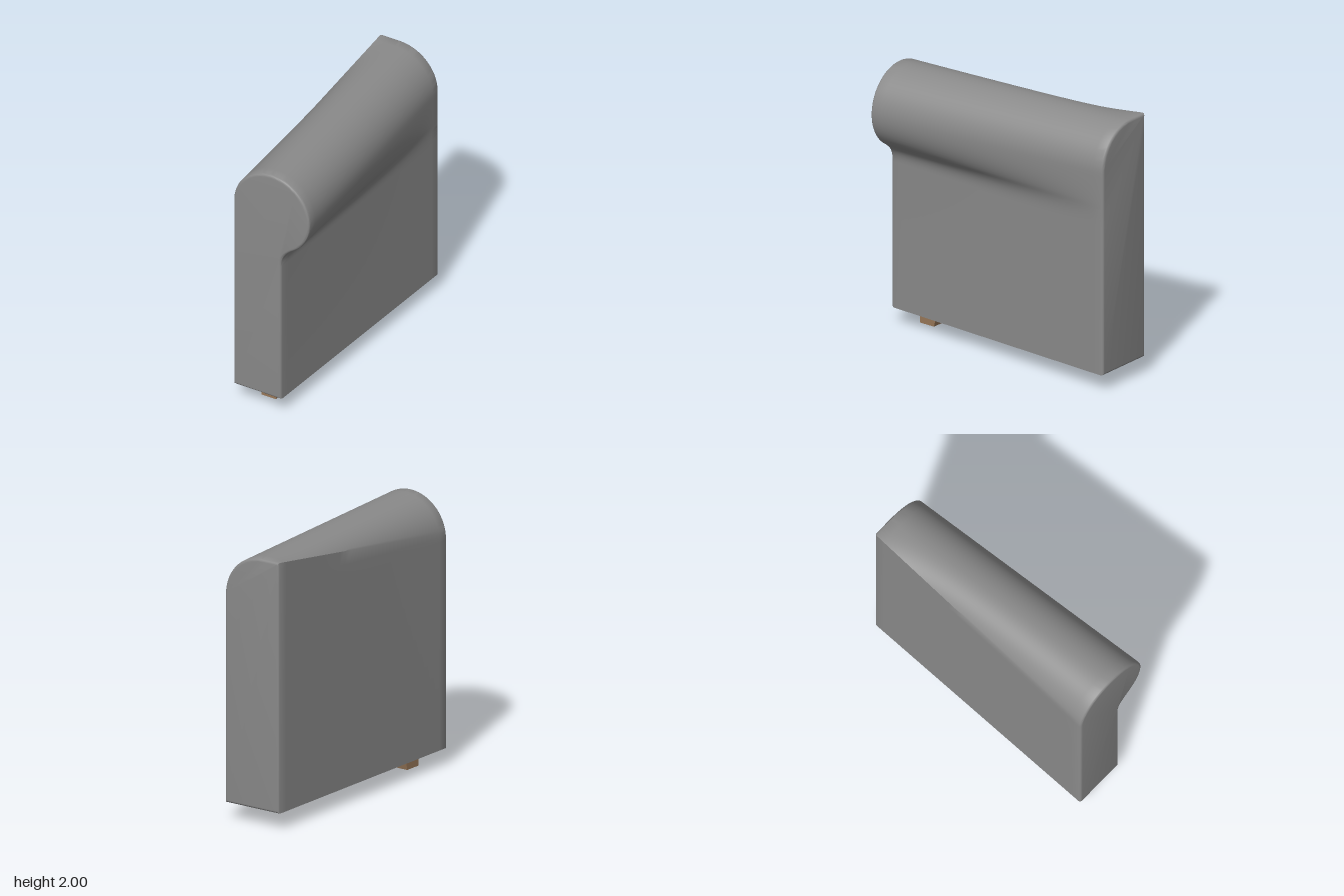
import * as THREE from 'three';
import { toCreasedNormals } from 'three/addons/utils/BufferGeometryUtils.js';

const upholstery = new THREE.MeshStandardMaterial({ color: 0x8a8a8a });
upholstery.name = 'grey upholstery';
const wood = new THREE.MeshStandardMaterial({ color: 0x967657 });
wood.name = 'brown wood';

const R = 0.32, CY = 1.68, BASE = 0.125;
const mix = THREE.MathUtils.lerp;

// Paired outlines: a scrolled front and a plain back with one square upper corner
function outlines() {
  const front = [], back = [];
  const add = (fx, fy, bx, by) => {
    front.push(new THREE.Vector2(fx, fy));
    back.push(new THREE.Vector2(bx, by));
  };
  add(-R, BASE, -R, BASE);
  add(0.08, BASE, 0.16, BASE);
  // concave neck below the scroll
  const neck = new THREE.CubicBezierCurve(
    new THREE.Vector2(0.08, 1.25), new THREE.Vector2(0.08, 1.33),
    new THREE.Vector2(0.11, 1.365), new THREE.Vector2(0.165, 1.406));
  neck.getPoints(8).forEach(p => add(p.x, p.y, 0.16, p.y));
  // underside of the scroll, fading into the flat side
  for (let i = 1; i <= 10; i++) {
    const a = mix(-1.03, 0, i / 10);
    add(R * Math.cos(a), CY + R * Math.sin(a), 0.16, CY + R * Math.sin(a));
  }
  // rounded top
  for (let i = 1; i <= 18; i++) {
    const a = (i / 18) * Math.PI / 2;
    add(R * Math.cos(a), CY + R * Math.sin(a), -0.16 + R * Math.cos(a), CY + R * Math.sin(a));
  }
  // round front shoulder turning into a square back corner
  for (let i = 1; i <= 20; i++) {
    const t = i / 20, a = (1 + t) * Math.PI / 2;
    add(R * Math.cos(a), CY + R * Math.sin(a),
      -0.16 - 0.16 * Math.min(1, t / 0.9), 2 - R * Math.max(0, (t - 0.9) / 0.1));
  }
  return [front, back];
}

// Moves a counter-clockwise outline inwards
function inset(points, d) {
  const n = points.length;
  const normal = (a, b) => new THREE.Vector2(a.y - b.y, b.x - a.x).normalize();
  return points.map((p, i) => {
    const n1 = normal(points[(i + n - 1) % n], p), n2 = normal(p, points[(i + 1) % n]);
    return n1.clone().add(n2).multiplyScalar(d / (1 + n1.dot(n2))).add(p);
  });
}

function armGeometry() {
  const [front, back] = outlines();
  const bevel = 0.02, rows = [];
  // section positions and insets: rounded edge, long body, rounded edge
  for (let i = 0; i <= 4; i++) {
    const a = (i / 4) * Math.PI / 2;
    rows.push([1 - bevel * (1 - Math.cos(Math.PI / 2 - a)), bevel * (1 - Math.sin(a))]);
  }
  const edge = rows.map((r, i) => {
    const a = (i / 4) * Math.PI / 2;
    return [1 - bevel * (1 - Math.cos(a)), bevel * (1 - Math.sin(a))];
  });
  rows.length = 0;
  edge.forEach(([z, d]) => rows.push([z, d]));
  rows.forEach((r, i) => {
    const a = (i / 4) * Math.PI / 2;
    r[0] = 1 - bevel * (1 - Math.cos(a));
  });
  for (let i = 1; i < 28; i++) rows.push([mix(1 - bevel, bevel - 1, i / 28), 0]);
  edge.slice().reverse().forEach(([z, d]) => rows.push([-z, d]));

  const pos = [], index = [], n = front.length;
  const sections = rows.map(([z, d]) => {
    const pts = inset(front.map((p, i) => p.clone().lerp(back[i], (1 - z) / 2)), d);
    pts.forEach(p => pos.push(p.x, p.y, z));
    return pts;
  });
  for (let r = 0; r < rows.length - 1; r++) {
    for (let i = 0; i < n; i++) {
      const a = r * n + i, b = r * n + (i + 1) % n;
      index.push(a, a + n, b + n, a, b + n, b);
    }
  }
  // end caps
  const last = (rows.length - 1) * n;
  THREE.ShapeUtils.triangulateShape(sections[0], []).forEach(([a, b, c]) => index.push(a, b, c));
  THREE.ShapeUtils.triangulateShape(sections[rows.length - 1], [])
    .forEach(([a, b, c]) => index.push(last + a, last + c, last + b));

  const g = new THREE.BufferGeometry();
  g.setAttribute('position', new THREE.Float32BufferAttribute(pos, 3));
  g.setIndex(index);
  return toCreasedNormals(g, 0.6);
}

// Short block foot, tapered on its rear face
function footGeometry() {
  const g = new THREE.BoxGeometry(0.12, 0.13, 0.16);
  const p = g.attributes.position;
  for (let i = 0; i < p.count; i++) {
    if (p.getY(i) < 0 && p.getZ(i) < 0) p.setZ(i, -0.05);
  }
  g.computeVertexNormals();
  return g;
}

export function createModel() {
  const group = new THREE.Group();
  group.name = 'sofaArm';

  const arm = new THREE.Mesh(armGeometry(), upholstery);
  arm.name = 'scrolledArm';
  group.add(arm);

  const foot = new THREE.Mesh(footGeometry(), wood);
  foot.name = 'frontFoot';
  foot.position.set(-0.115, 0.065, 0.77);
  group.add(foot);
  return group;
}
